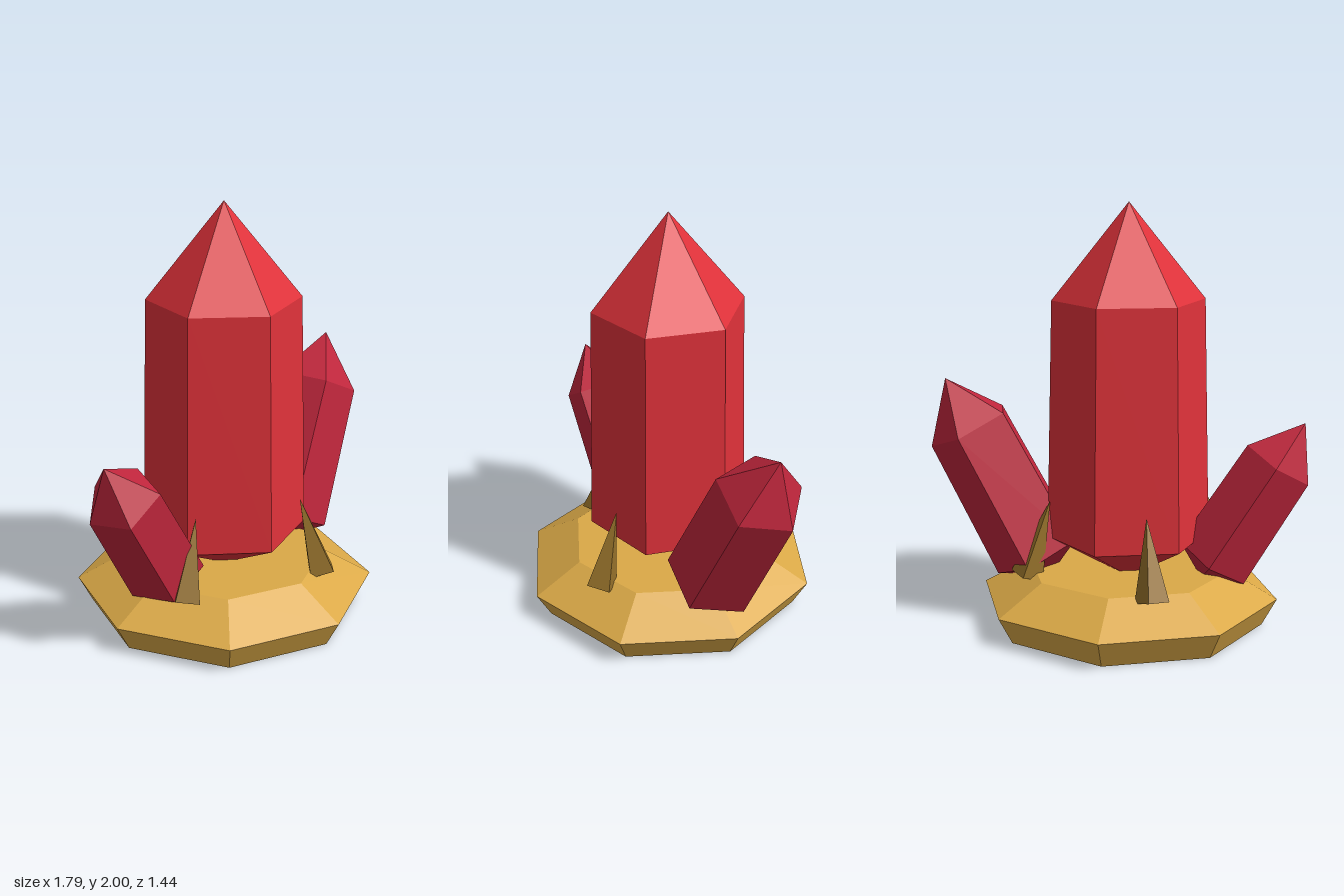
import * as THREE from 'three';

const V = (x, y, z) => new THREE.Vector3(x, y, z);
const UP = V(0, 1, 0);

function material(name, color) {
  const m = new THREE.MeshStandardMaterial({ color });
  m.name = name;
  return m;
}

// Split the faces so every facet gets its own flat normal
function faceted(geometry) {
  const g = geometry.toNonIndexed();
  g.computeVertexNormals();
  return g;
}

function lathe(profile, sides) {
  return faceted(new THREE.LatheGeometry(profile.map(([r, y]) => new THREE.Vector2(r, y)), sides));
}

// Pointed prism running from the lower ring centre to the upper ring centre;
// "edge" is the direction in which its first corner lies
function crystal(name, mat, { sides, low, high, rLow, rHigh, tip, tail, edge }) {
  const axis = high.clone().sub(low);
  const length = axis.length();
  axis.normalize();
  const x = axis.clone().cross(edge).normalize();
  const z = x.clone().cross(axis);
  const mesh = new THREE.Mesh(
    lathe([[0, -tail], [rLow, 0], [rHigh, length], [0, length + tip]], sides), mat);
  mesh.name = name;
  mesh.quaternion.setFromRotationMatrix(new THREE.Matrix4().makeBasis(x, axis, z));
  mesh.position.copy(low);
  return mesh;
}

export function createModel() {
  const group = new THREE.Group();
  group.name = 'crystalCluster';
  const gold = material('gold', 0xdba947);
  const darkGold = material('darkGold', 0x94702a);
  const red = material('red', 0xe0323a);
  const crimson = material('crimson', 0xc0263c);
  const cx = -0.04;

  // Eight-sided pedestal
  const base = new THREE.Mesh(
    lathe([[0, 0], [0.65, 0], [0.72, 0.13], [0.49, 0.26], [0, 0.26]], 8), gold);
  base.name = 'base';
  base.position.x = cx;
  group.add(base);

  // Large upright crystal
  group.add(crystal('mainCrystal', red, {
    sides: 6, low: V(cx, 0.415, 0), high: V(cx, 1.55, 0),
    rLow: 0.39, rHigh: 0.361, tip: 0.45, tail: 0.215, edge: V(-0.222, 0, 0.975),
  }));

  // Smaller leaning crystals
  group.add(crystal('leftCrystal', crimson, {
    sides: 5, low: V(0.4, 0.302, -0.013), high: V(0.715, 0.932, -0.073),
    rLow: 0.228, rHigh: 0.212, tip: 0.26, tail: 0.125, edge: V(0.173, -0.112, -0.058),
  }));
  group.add(crystal('rightCrystal', crimson, {
    sides: 5, low: V(-0.45, 0.308, 0.003), high: V(-0.747, 0.787, 0.05),
    rLow: 0.19, rHigh: 0.177, tip: 0.229, tail: 0.105, edge: V(-0.093, -0.05, 0.14),
  }));

  // Four spikes leaning in towards the main crystal
  for (let i = 0; i < 4; i++) {
    const a = 0.4 + i * Math.PI / 2;
    const foot = V(cx + 0.495 * Math.sin(a), 0.24, 0.495 * Math.cos(a));
    const tip = V(cx + 0.38 * Math.sin(a), 0.603, 0.38 * Math.cos(a));
    const axis = tip.clone().sub(foot);
    const spike = new THREE.Mesh(faceted(new THREE.ConeGeometry(0.08, axis.length(), 4)), darkGold);
    spike.name = 'spike' + (i + 1);
    spike.position.copy(foot).add(tip).multiplyScalar(0.5);
    spike.quaternion.setFromUnitVectors(UP, axis.normalize());
    group.add(spike);
  }
  return group;
}
